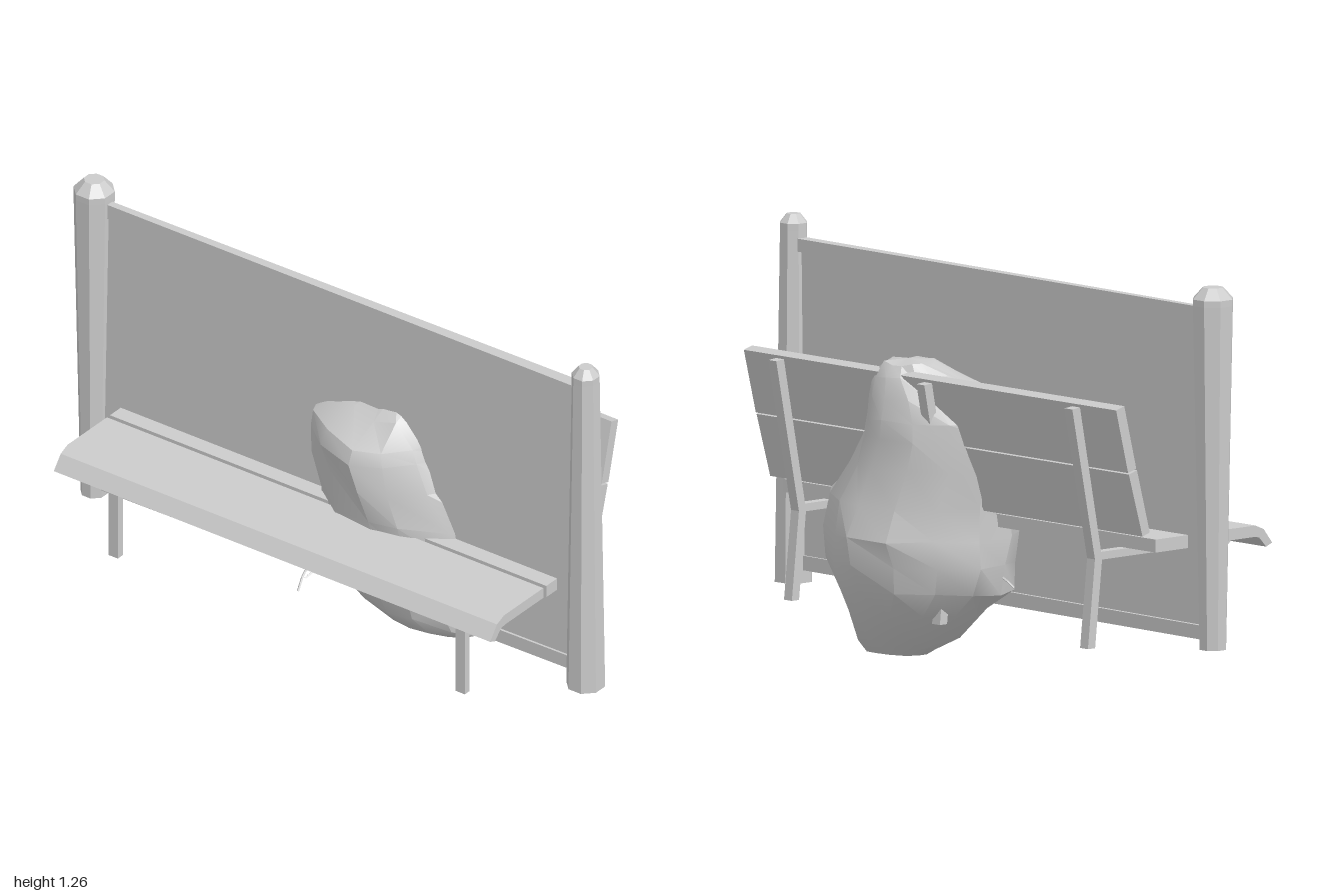
import * as THREE from 'three';
import { toCreasedNormals } from 'three/addons/utils/BufferGeometryUtils.js';

const flat = new THREE.MeshStandardMaterial({ color: 0xcccccc, flatShading: true });
const smooth = new THREE.MeshStandardMaterial({ color: 0xcccccc });

export function createModel() {
  const model = new THREE.Group();

  const add = (name, geometry, material = flat) => {
    const mesh = new THREE.Mesh(geometry, material);
    mesh.name = name;
    model.add(mesh);
    return mesh;
  };

  // Side profile in x/y, extruded along z about a centre
  const profile = (name, points, length, z = 0) => {
    const shape = new THREE.Shape(points.map(([x, y]) => new THREE.Vector2(x, y)));
    const g = new THREE.ExtrudeGeometry(shape, { depth: length, bevelEnabled: false });
    return add(name, g.translate(0, 0, z - length / 2));
  };

  // Bench slats
  profile('seatFrontSlat', [[-0.13, 0.47], [-0.33, 0.47], [-0.365, 0.455], [-0.4, 0.41],
    [-0.375, 0.4], [-0.345, 0.432], [-0.32, 0.435], [-0.13, 0.435]], 1.66);
  profile('seatRearSlat', [[-0.115, 0.43], [0.085, 0.43], [0.085, 0.47], [-0.115, 0.47]], 1.66);
  profile('backLowerSlat', [[0.11, 0.495], [0.14, 0.485], [0.197, 0.682], [0.163, 0.692]], 1.66);
  profile('backUpperSlat', [[0.166, 0.697], [0.2, 0.687], [0.25, 0.885], [0.216, 0.895]], 1.66);

  // Bench frames; the middle one has no front leg
  for (const z of [-0.66, 0, 0.66]) {
    const w = 0.035;
    const front = z === 0 ? -0.1 : -0.34;
    profile('seatBearer', [[front - 0.03, 0.402], [front - 0.02, 0.392], [front + 0.01, 0.4],
      [0.19, 0.4], [0.19, 0.424], [front, 0.424]], w, z);
    profile('backSupport', [[0.167, 0.41], [0.195, 0.4], [0.29, 0.875], [0.258, 0.878]], w, z);
    profile('rearLeg', [[0.195, 0.13], [0.225, 0.13], [0.195, 0.41], [0.165, 0.41]], w, z);
    if (z !== 0) profile('frontLeg', [[-0.325, 0.13], [-0.3, 0.13], [-0.3, 0.4], [-0.325, 0.4]], w, z);
  }

  // Octagonal posts, one tapering upward and the other downward
  const post = (name, z, rBottom, rTop, yTop, yCap) => {
    const pts = [[0, 0.13], [rBottom, 0.13], [rTop, yTop - 0.02], [rTop, yTop],
      [rTop * 0.5, yCap], [0, yCap]].map(([r, y]) => new THREE.Vector2(r, y));
    const g = new THREE.LatheGeometry(pts, 8, Math.PI / 8);
    add(name, g).position.set(-0.055, 0, z);
  };
  post('frontPost', 0.935, 0.061, 0.044, 1.235, 1.262);
  post('rearPost', -0.935, 0.043, 0.065, 1.21, 1.245);

  // Panel and rails whose height and thickness vary slightly between posts
  const beam = (name, front, rear) => {
    const g = new THREE.BoxGeometry(2, 2, 2);
    const p = g.attributes.position;
    for (let i = 0; i < p.count; i++) {
      const [low, high, half] = p.getZ(i) > 0 ? front : rear;
      p.setXYZ(i, -0.055 + p.getX(i) * half, p.getY(i) > 0 ? high : low, p.getZ(i) * 0.92);
    }
    add(name, g);
  };
  beam('panel', [0.19, 1.17, 0.005], [0.18, 1.155, 0.005]);
  beam('topRail', [1.15, 1.19, 0.02], [1.13, 1.18, 0.012]);
  beam('bottomRail', [0.17, 0.215, 0.012], [0.157, 0.2, 0.018]);

  // Boulder sections: y, xMin, xMax, zMin, zMax, centre x, centre z, taper toward +z
  const sections = [
    [0.0, 0.14, 0.14, 0.27, 0.27, 0.14, 0.27, 1],
    [0.01, 0.06, 0.22, 0.15, 0.38, 0.14, 0.27, 1],
    [0.06, -0.03, 0.27, 0.07, 0.39, 0.13, 0.25, 1],
    [0.15, -0.11, 0.33, -0.02, 0.4, 0.12, 0.22, 1],
    [0.22, -0.14, 0.36, -0.11, 0.44, 0.11, 0.2, 1.1],
    [0.3, -0.155, 0.385, -0.14, 0.57, 0.1, 0.2, 1.5],
    [0.39, -0.165, 0.4, -0.125, 0.57, 0.09, 0.21, 1.6],
    [0.49, -0.175, 0.37, -0.12, 0.55, 0.09, 0.2, 1.6],
    [0.6, -0.19, 0.335, -0.14, 0.43, 0.08, 0.17, 1.3],
    [0.7, -0.2, 0.328, -0.15, 0.37, 0.08, 0.15, 1],
    [0.75, -0.195, 0.32, -0.13, 0.345, 0.09, 0.15, 1],
    [0.81, -0.1, 0.29, -0.05, 0.33, 0.12, 0.16, 1],
    [0.87, 0.0, 0.265, 0.06, 0.315, 0.15, 0.18, 1],
    [0.915, 0.09, 0.24, 0.1, 0.27, 0.17, 0.18, 1],
    [0.925, 0.17, 0.17, 0.18, 0.18, 0.17, 0.18, 1],
  ];
  let seed = 7;
  const rand = () => (seed = (seed * 16807) % 2147483647) / 2147483647 - 0.5;
  const sides = 14;
  const verts = [];
  const index = [];
  sections.forEach(([y, x0, x1, z0, z1, cx, cz, taper], i) => {
    for (let j = 0; j < sides; j++) {
      const a = (j / sides) * Math.PI * 2;
      const c = Math.cos(a);
      const s = Math.sin(a);
      const end = i === 0 || i === sections.length - 1;
      const k = 1 + (end ? 0 : rand() * 0.09);
      verts.push(cx + (c > 0 ? x1 - cx : cx - x0) * c * k,
        y + (end || i === 1 ? 0 : rand() * 0.02),
        cz + (s > 0 ? (z1 - cz) * s ** taper : (cz - z0) * s) * k);
      if (end && i) continue;
      const n = (j + 1) % sides;
      const lo = i * sides;
      const up = lo + sides;
      if (i < sections.length - 2) index.push(lo + j, up + j, up + n);
      if (i > 0) index.push(lo + j, up + n, lo + n);
      if (i === sections.length - 2) index.push(lo + j, up + j, lo + n);
    }
  });
  const rock = new THREE.BufferGeometry();
  rock.setAttribute('position', new THREE.Float32BufferAttribute(verts, 3));
  rock.setIndex(index);
  add('boulder', toCreasedNormals(rock, 0.5), smooth);

  // Thin curved twigs poking out under the seat
  const twigs = [
    [[-0.1, 0.23, -0.06], [-0.17, 0.22, -0.05], [-0.215, 0.18, -0.04]],
    [[-0.1, 0.26, 0.0], [-0.16, 0.245, -0.01], [-0.205, 0.23, -0.02]],
    [[0.05, 0.28, -0.08], [0.05, 0.26, -0.13], [0.04, 0.24, -0.15]],
  ];
  for (const t of twigs) {
    const curve = new THREE.CatmullRomCurve3(t.map((p) => new THREE.Vector3(...p)));
    add('twig', new THREE.TubeGeometry(curve, 6, 0.004, 4));
  }
  return model;
}
